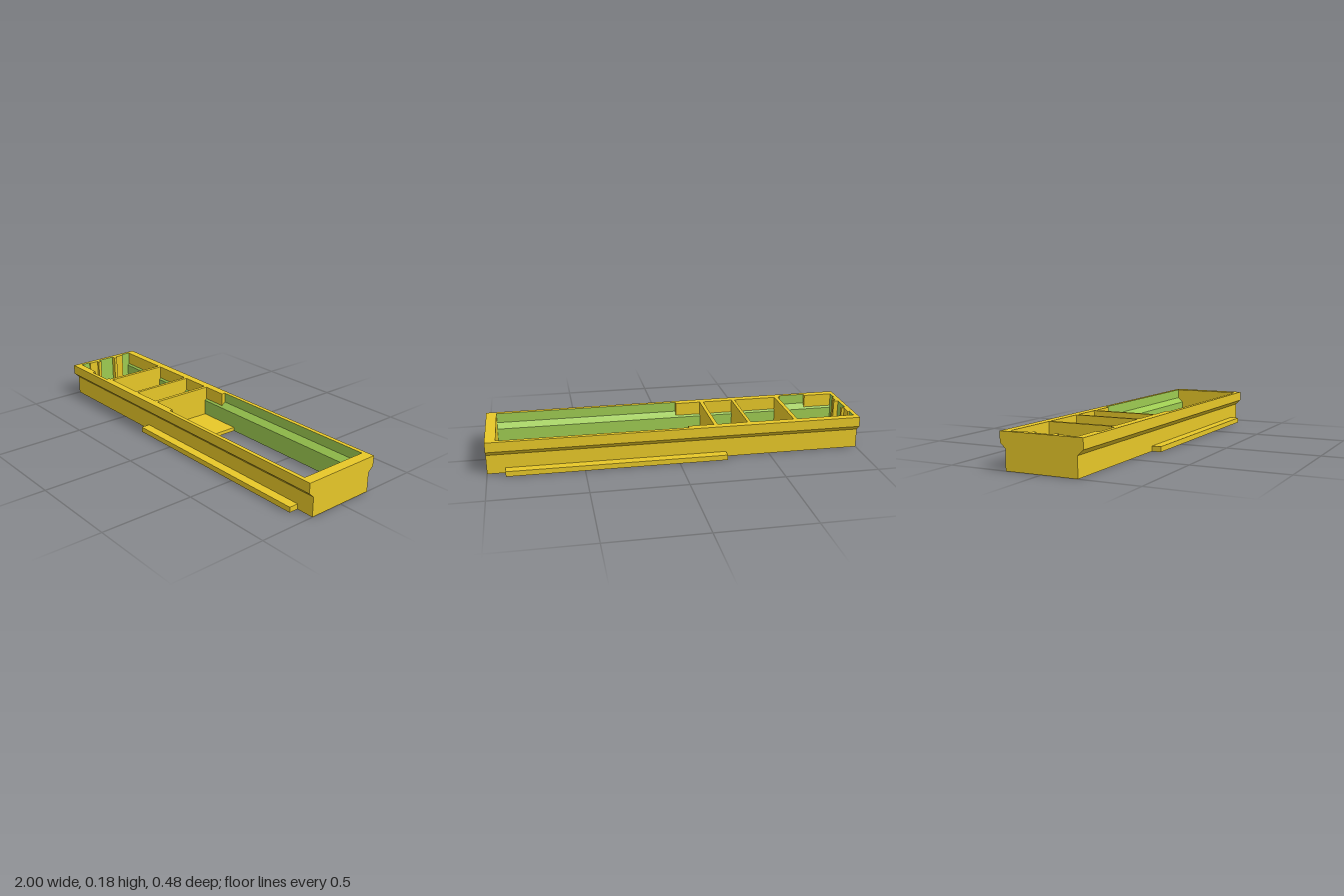
import * as THREE from 'three';

export function createModel() {
  const yellow = new THREE.MeshStandardMaterial({ color: 0xf9d72c });
  yellow.name = 'yellow';
  const green = new THREE.MeshStandardMaterial({ color: 0x9dcb51 });
  green.name = 'green';
  const group = new THREE.Group();
  group.name = 'tray';

  function add(name, geometry, material) {
    const mesh = new THREE.Mesh(geometry, material);
    mesh.name = name;
    group.add(mesh);
    return mesh;
  }

  // box given by its limits on each axis
  function box(name, x0, x1, y0, y1, z0, z1, material = yellow) {
    const g = new THREE.BoxGeometry(x1 - x0, y1 - y0, z1 - z0);
    g.translate((x0 + x1) / 2, (y0 + y1) / 2, (z0 + z1) / 2);
    return add(name, g, material);
  }

  // open (z, y) path swept along x; side = -1 mirrors it to the back
  function strip(path, x0, x1, side) {
    const pos = [];
    for (let i = 0; i < path.length - 1; i++) {
      const [p, q] = [path[i], path[i + 1]];
      const a = [x0, p[1], side * p[0]], b = [x0, q[1], side * q[0]];
      const c = [x1, q[1], side * q[0]], d = [x1, p[1], side * p[0]];
      const quad = side > 0 ? [a, b, c, a, c, d] : [a, c, b, a, d, c];
      quad.forEach(v => pos.push(...v));
    }
    const g = new THREE.BufferGeometry();
    g.setAttribute('position', new THREE.Float32BufferAttribute(pos, 3));
    g.computeVertexNormals();
    return g;
  }

  // closed (z, y) outline extruded between two x limits
  function slab(outline, x0, x1) {
    const shape = new THREE.Shape(outline.map(([z, y]) => new THREE.Vector2(-z, y)));
    const g = new THREE.ExtrudeGeometry(shape, { depth: x1 - x0, bevelEnabled: false });
    g.rotateY(Math.PI / 2);
    g.translate(x0, 0, 0);
    return g;
  }

  const top = 0.184, x0 = -0.98, x1 = 0.945, floorTop = 0.02;
  const outer = [[0.219, top], [0.219, 0.131], [0.19, 0.104], [0.19, 0]];
  const lining = [[0.166, 0], [0.166, 0.104], [0.196, 0.131], [0.196, top]];

  // end walls with the full stepped outline
  const outline = [...outer, ...outer.map(([z, y]) => [-z, y]).reverse()];
  add('rightEndWall', slab(outline, -1, x0), yellow);
  add('leftEndWall', slab(outline, x1, 1), yellow);
  box('endLining', x0, x0 + 0.002, floorTop, top, -0.176, 0.176, green);

  for (const side of [1, -1]) {
    const label = side > 0 ? 'front' : 'back';
    // side walls: yellow outside, green inside
    add(label + 'Wall', strip([[0.196, top], ...outer, [0.166, 0]], x0, x1, side), yellow);
    add(label + 'WallLining', strip(lining, x0, x1, side), green);

    // low outer flange
    const z = [side * 0.19, side * 0.24].sort((a, b) => a - b);
    box(label + 'Flange', -0.26, 0.905, 0, 0.028, z[0], z[1]);

    // thickened upper wall beside the compartments, with a gap at the front
    const spans = side > 0 ? [[x0, -0.82], [-0.67, -0.055]] : [[x0, -0.055]];
    const filler = [[0.176, top], [0.196, top], [0.196, 0.131], [0.176, 0.113]]
      .map(([fz, fy]) => [side * fz, fy]);
    for (const [a, b] of spans) add(label + 'UpperFiller', slab(filler, a, b), yellow);

    // stepped ribs on the end wall
    const rib = (a, b, depth) => {
      const r = [side * a, side * b].sort((p, q) => p - q);
      box('endRib', x0, depth, floorTop, top, r[0], r[1]);
    };
    rib(0.068, 0.12, -0.968);
    rib(0.05, 0.068, -0.953);
  }

  // floor either side of the opening
  box('compartmentFloor', x0, 0.06, 0, floorTop, -0.166, 0.166);
  box('endFloor', 0.835, x1, 0, floorTop, -0.166, 0.166);

  // cross partitions, cut to the inner wall shape
  const inner = [[0.176, top], [0.176, 0.113], [0.166, 0.104], [0.166, floorTop]];
  const cross = [...inner, ...inner.map(([z, y]) => [-z, y]).reverse()];
  for (const [a, b] of [[-0.658, -0.637], [-0.398, -0.38], [-0.214, -0.194]])
    add('partition', slab(cross, a, b), yellow);

  return group;
}
